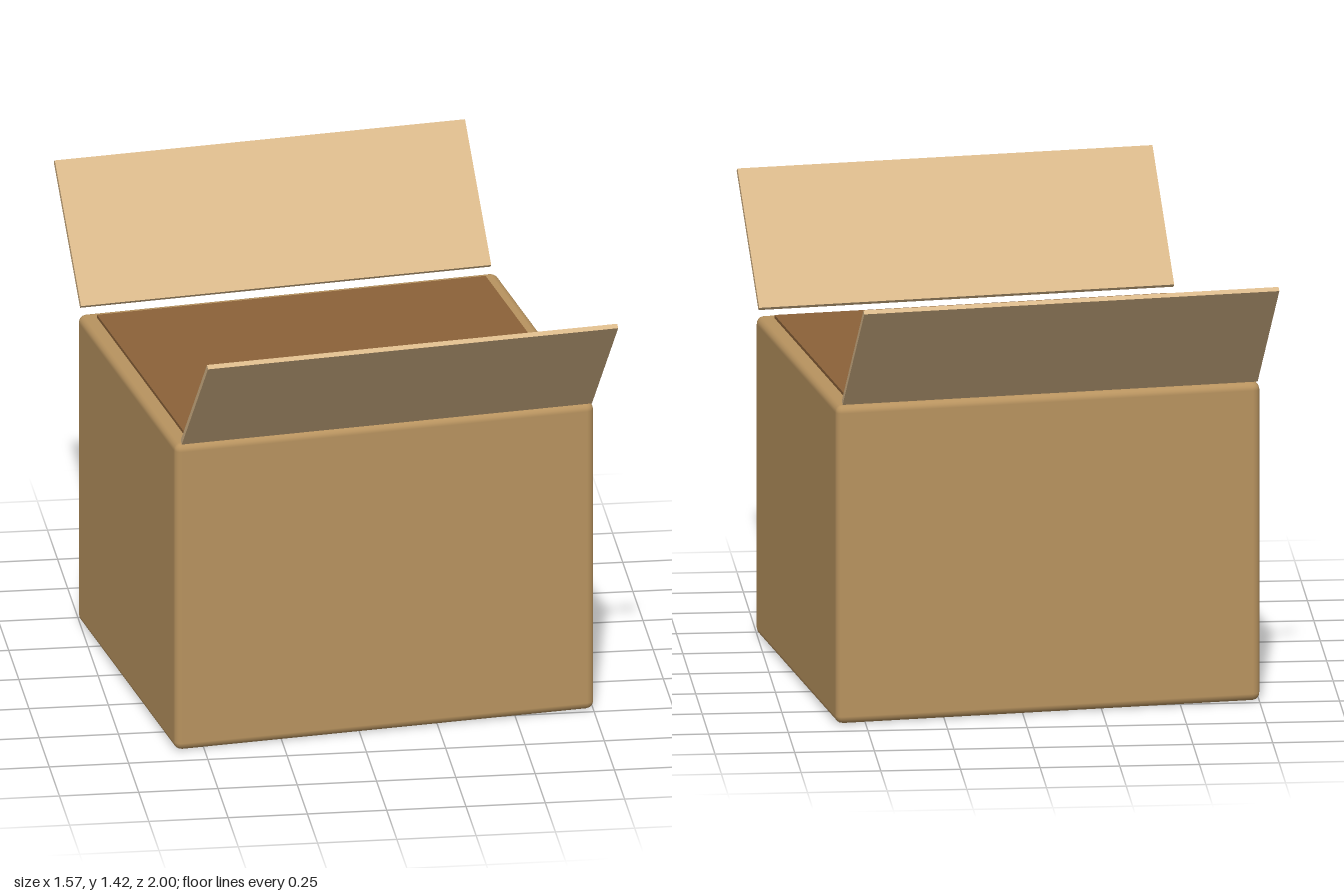
import * as THREE from 'three';
import { RoundedBoxGeometry } from 'three/addons/geometries/RoundedBoxGeometry.js';

export function createModel() {
  const model = new THREE.Group();
  model.name = 'openCarton';
  model.rotation.y = THREE.MathUtils.degToRad(8);

  const add = (name, geometry, color, x, y, z) => {
    const mesh = new THREE.Mesh(geometry, new THREE.MeshStandardMaterial({ color }));
    mesh.name = name;
    mesh.position.set(x, y, z);
    model.add(mesh);
    return mesh;
  };

  // Carton body with softened edges
  add('body', new RoundedBoxGeometry(1.36, 1.03, 1.17, 2, 0.025), 0xb8935f, 0, 0.515, 0);

  // Dark inset seen through the opening, just proud of the rim
  add('darkOpening', new THREE.BoxGeometry(1.26, 0.02, 1.06), 0x8b6239, 0, 1.03, 0);

  // Front and back flaps, leaning outward
  for (const [name, side] of [['frontFlap', 1], ['backFlap', -1]]) {
    const flap = add(name, new THREE.BoxGeometry(1.33, 0.485, 0.016), 0xd9b88a, 0, 1.23, side * 0.753);
    flap.rotation.x = side * THREE.MathUtils.degToRad(40);
  }

  return model;
}
